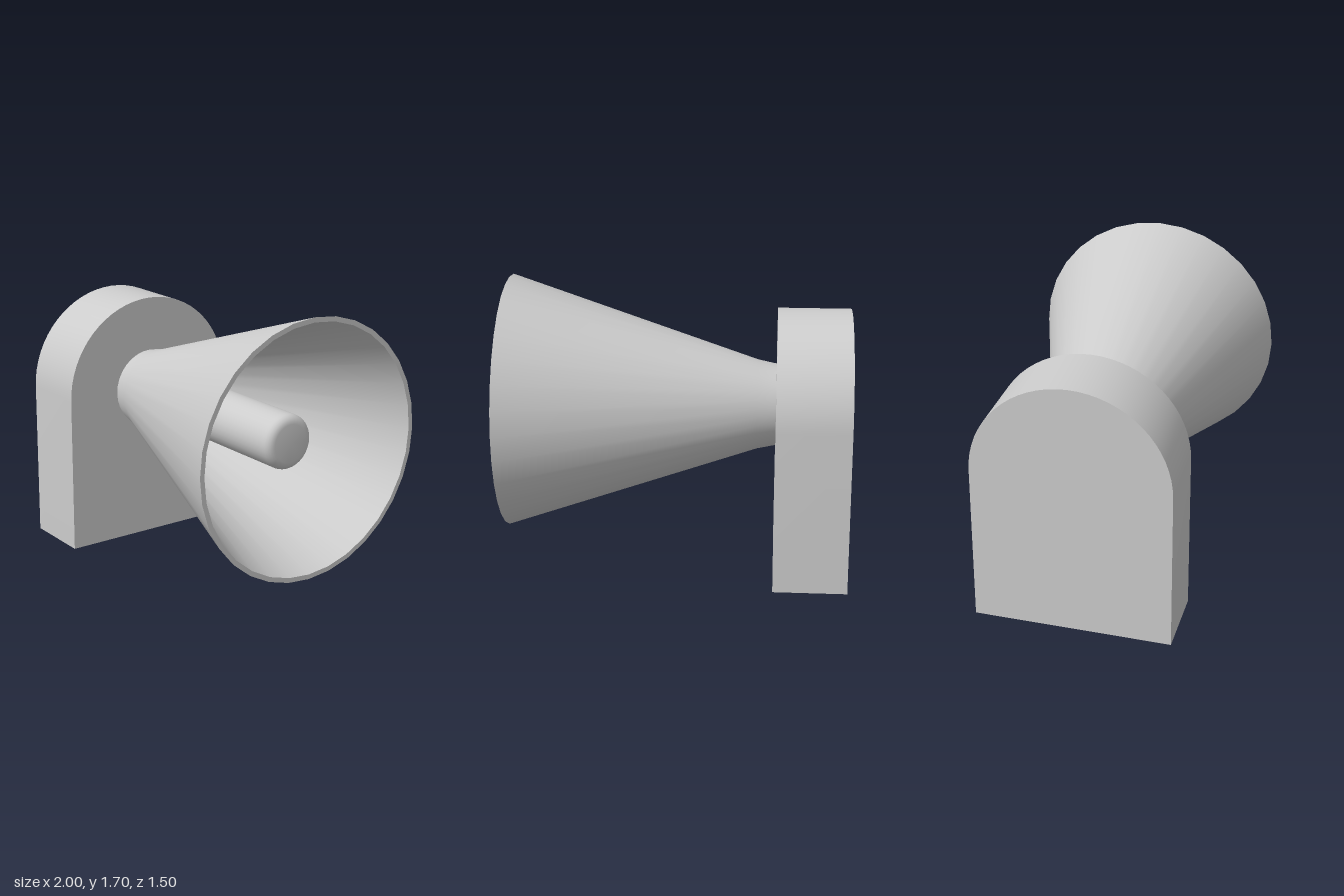
import * as THREE from 'three';
import { toCreasedNormals } from 'three/addons/utils/BufferGeometryUtils.js';

const AXIS_Y = 0.953;

export function createModel() {
  const model = new THREE.Group();
  model.name = 'hornSpeaker';
  const grey = new THREE.MeshStandardMaterial({ color: 0xcccccc });
  grey.name = 'light grey';

  function add(name, geometry) {
    const mesh = new THREE.Mesh(toCreasedNormals(geometry, 0.6), grey);
    mesh.name = name;
    model.add(mesh);
    return mesh;
  }

  // Turn a profile of [radius, x] pairs about the horizontal horn axis
  function turned(name, profile) {
    const points = profile.map(([r, x]) => new THREE.Vector2(r, x));
    const geometry = new THREE.LatheGeometry(points, 32);
    geometry.rotateZ(-Math.PI / 2);
    geometry.translate(0, AXIS_Y, 0);
    return add(name, geometry);
  }

  // Arched mounting block, very slightly wider at the foot
  const radius = 0.572;
  const arch = new THREE.Shape();
  arch.moveTo(-0.577, 0);
  arch.lineTo(0.577, 0);
  arch.lineTo(radius, AXIS_Y);
  arch.absarc(0, AXIS_Y, radius, 0, Math.PI, false);
  arch.closePath();
  const block = new THREE.ExtrudeGeometry(arch, { depth: 0.43, bevelEnabled: false, curveSegments: 16 });
  block.rotateY(Math.PI / 2);
  block.translate(-1, 0, 0);
  add('mountingBlock', block);

  // Flared horn: outer wall, rim, inner wall and throat floor
  turned('horn', [
    [0, -0.57], [0.242, -0.57], [0.265, -0.46], [0.748, 1],
    [0.72, 1], [0.222, -0.5], [0, -0.5],
  ]);

  // Central driver with a rounded end
  const driver = [[0.16, -0.5]];
  const round = 0.05;
  for (let i = 0; i <= 5; i++) {
    const a = (i / 5) * Math.PI / 2;
    driver.push([0.16 - round + round * Math.cos(a), 0.77 + round * Math.sin(a)]);
  }
  driver.push([0, 0.82]);
  turned('driver', driver);

  return model;
}
